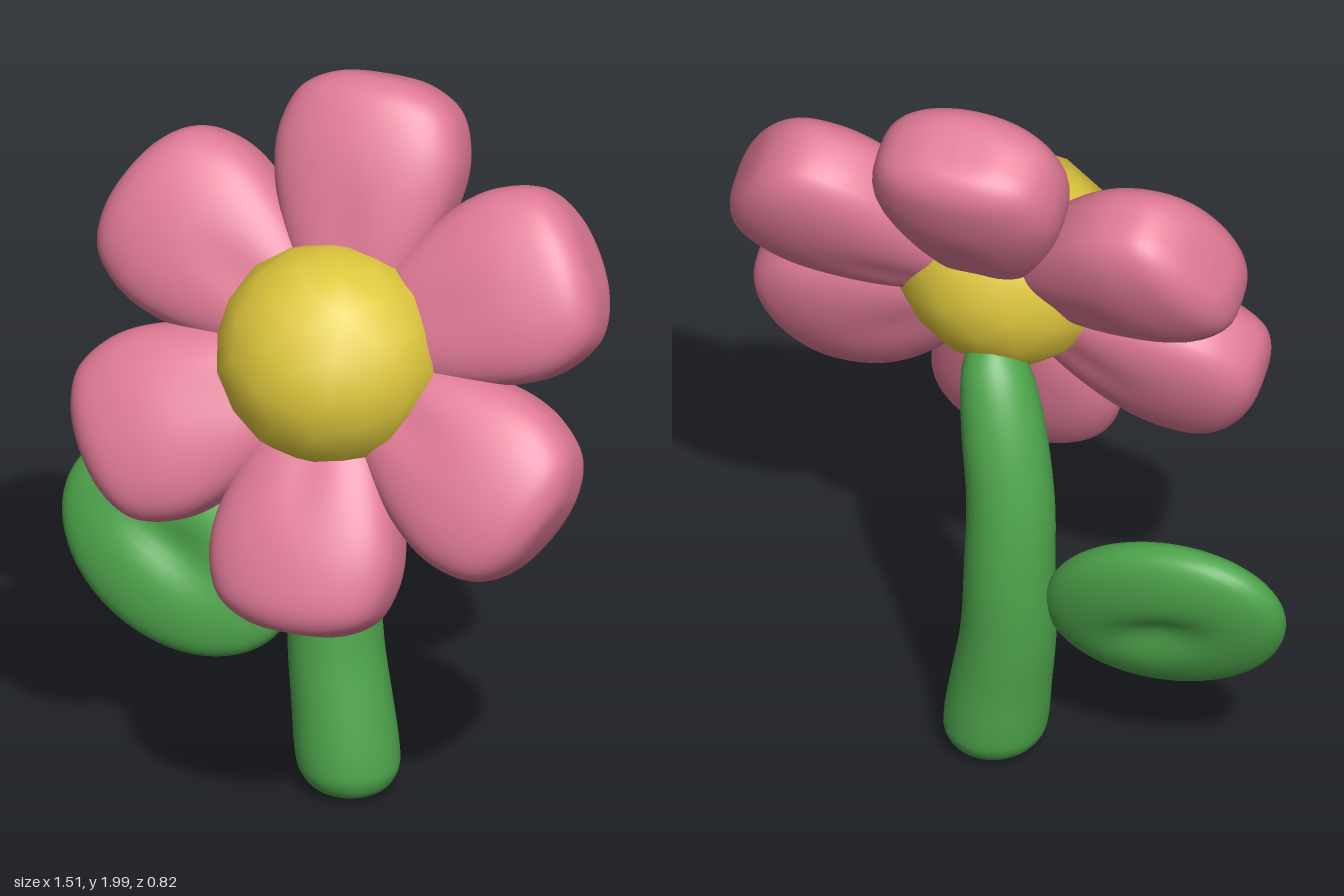
import * as THREE from 'three';
import { mergeVertices } from 'three/addons/utils/BufferGeometryUtils.js';

const mat = (name, color) => {
  const m = new THREE.MeshStandardMaterial({ color });
  m.name = name;
  return m;
};

// Move every vertex by a rule, weld seams and smooth the normals
function deform(geo, rule) {
  geo.deleteAttribute('uv');
  geo.deleteAttribute('normal');
  const g = mergeVertices(geo, 1e-5);
  const pos = g.attributes.position;
  const v = new THREE.Vector3();
  for (let i = 0; i < pos.count; i++) {
    v.fromBufferAttribute(pos, i);
    rule(v);
    pos.setXYZ(i, v.x, v.y, v.z);
  }
  g.computeVertexNormals();
  return g;
}

// Blunt the edge of a round section: z in -1..1 is pushed outward
const blunt = (z, power) => Math.sign(z) * Math.pow(Math.abs(z), power);

// Smooth solid of revolution through [radius, height] points
function turned(points, steps, sides) {
  const curve = new THREE.SplineCurve(points.map(([r, y]) => new THREE.Vector2(r, y)));
  const profile = curve.getPoints(steps);
  profile.forEach(p => { p.x = Math.max(p.x, 0); });
  return new THREE.LatheGeometry(profile, sides);
}

function mesh(name, geo, material) {
  const m = new THREE.Mesh(geo, material);
  m.name = name;
  return m;
}

export function createModel() {
  const pink = mat('petal pink', 0xe07a96);
  const yellow = mat('centre yellow', 0xe0c83e);
  const green = mat('leaf green', 0x4ea54c);
  const model = new THREE.Group();
  model.name = 'flower';

  // Flower head, leaning back to face slightly upward
  const head = new THREE.Group();
  head.name = 'flowerHead';
  head.position.set(0.081, 1.327, 0);
  head.rotation.x = -0.465;
  model.add(head);

  // Puffy petals: flattened, blunt-edged, with a faint groove toward the middle
  const petalGeo = deform(turned([
    [0, 0.1], [0.1, 0.13], [0.16, 0.22], [0.212, 0.34], [0.243, 0.46],
    [0.24, 0.56], [0.2, 0.65], [0.11, 0.7], [0, 0.71],
  ], 48, 48), v => {
    const inner = THREE.MathUtils.smoothstep(0.5 - v.y, 0, 0.25);
    const groove = 1 - 0.08 * inner * Math.exp(-((v.x / 0.06) ** 2));
    v.z = 0.153 * blunt(v.z / 0.245, 0.64) * groove;
  });
  for (let i = 0; i < 6; i++) {
    const petal = mesh('petal' + (i + 1), petalGeo, pink);
    petal.rotation.z = i * Math.PI / 3;
    head.add(petal);
  }

  // Lumpy, coarsely rounded ball in the middle
  const centre = mesh('flowerCentre', deform(new THREE.IcosahedronGeometry(0.29, 2), v => {
    const lump = Math.sin(v.x * 26 + 1) * Math.sin(v.y * 24 + 2) * Math.sin(v.z * 25 + 0.5);
    v.multiplyScalar(1 + 0.025 * lump);
  }), yellow);
  centre.scale.set(1, 0.98, 0.95);
  centre.position.set(-0.006, 0, 0.06);
  head.add(centre);

  // Curved stem: tapered column whose rings follow a bent path
  const path = new THREE.CatmullRomCurve3([
    [0.04, 0, -0.18], [0.014, 0.2, -0.195], [-0.015, 0.4, -0.215], [-0.022, 0.6, -0.227],
    [-0.02, 0.8, -0.214], [0.01, 1.0, -0.182], [0.055, 1.2, -0.13],
  ].map(p => new THREE.Vector3(...p)));
  const stemGeo = deform(turned([
    [0, 0], [0.085, 0.01], [0.123, 0.05], [0.132, 0.11], [0.127, 0.25], [0.121, 0.4],
    [0.115, 0.6], [0.111, 0.8], [0.106, 1.0], [0.088, 1.14], [0.05, 1.21], [0, 1.23],
  ], 60, 32), v => {
    const c = path.getPoint(THREE.MathUtils.clamp(v.y / 1.2, 0, 1));
    v.x += c.x;
    v.z += c.z;
  });
  model.add(mesh('stem', stemGeo, green));

  // Thick oval leaf with a dimple along its midrib
  const leafGeo = deform(new THREE.SphereGeometry(1, 48, 32), v => {
    const dimple = 1 - 0.4 * Math.exp(-((v.x / 0.4) ** 2) - (v.y / 0.25) ** 2);
    v.set(v.x * 0.338, v.y * 0.253, blunt(v.z, 0.85) * 0.095 * dimple);
  });
  const leaf = mesh('leaf', leafGeo, green);
  leaf.rotation.set(-0.33, 0, -0.47);
  leaf.position.set(-0.437, 0.57, -0.235);
  model.add(leaf);

  return model;
}
